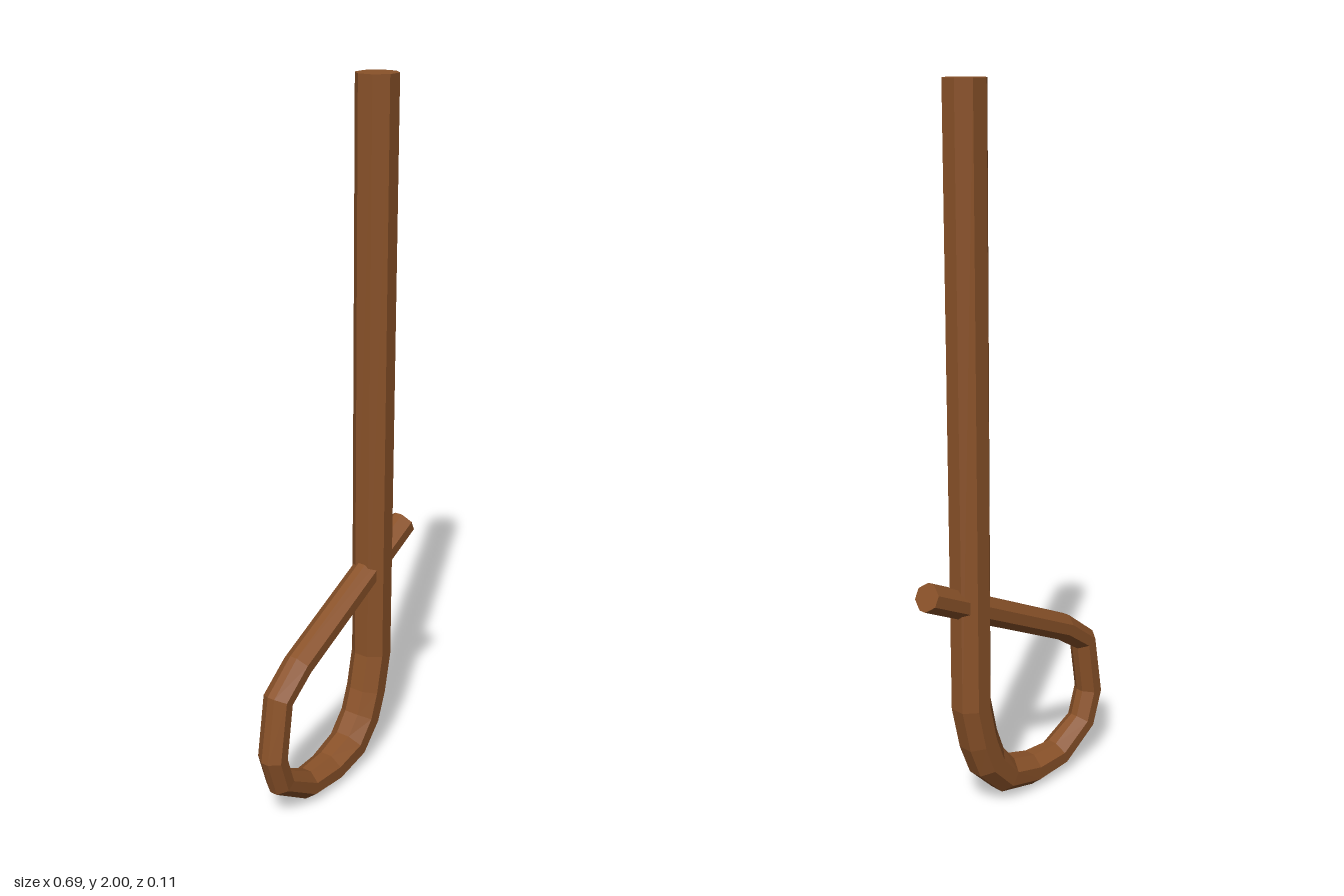
import * as THREE from 'three';

// Eight-sided bar swept along a flat path; each station is [x, y, inPlaneRadius, depthRadius, bevelRatio]
function sweepBar(stations) {
  const pts = stations.map(([x, y]) => new THREE.Vector2(x, y));
  const verts = [];
  const index = [];
  const last = pts.length - 1;
  stations.forEach(([x, y, r, d, f], i) => {
    const before = pts[i].clone().sub(pts[Math.max(i - 1, 0)]).normalize();
    const after = pts[Math.min(i + 1, last)].clone().sub(pts[i]).normalize();
    const t = before.add(after).normalize();
    // octagon section: flats face the side and the depth directions
    const section = [[1, -f], [1, f], [0.41, 1], [-0.41, 1], [-1, f], [-1, -f], [-0.41, -1], [0.41, -1]];
    for (const [a, b] of section) verts.push(x - t.y * a * r, y + t.x * a * r, b * d);
  });
  for (let i = 0; i < last; i++) {
    for (let k = 0; k < 8; k++) {
      const a = i * 8 + k, b = i * 8 + (k + 1) % 8;
      index.push(a, b, b + 8, a, b + 8, a + 8);
    }
  }
  // flat end caps
  const e = last * 8;
  for (let k = 1; k < 7; k++) index.push(0, k + 1, k, e, e + k, e + k + 1);

  const indexed = new THREE.BufferGeometry();
  indexed.setAttribute('position', new THREE.Float32BufferAttribute(verts, 3));
  indexed.setIndex(index);
  const geometry = indexed.toNonIndexed();
  geometry.computeVertexNormals();
  return geometry;
}

export function createModel() {
  const group = new THREE.Group();
  group.name = 'loopedRod';
  const material = new THREE.MeshStandardMaterial({ color: 0x8a5229, flatShading: true });

  // straight shaft, curling round into a tapering loop whose tip crosses the shaft
  const rod = new THREE.Mesh(sweepBar([
    [0.172, 2, 0.055, 0.054, 0.41],
    [0.171, 0.333, 0.053, 0.054, 0.41],
    [0.145, 0.217, 0.053, 0.054, 0.41],
    [0.114, 0.138, 0.053, 0.054, 0.41],
    [0.05, 0.071, 0.05, 0.054, 0.39],
    [-0.055, 0.046, 0.046, 0.05, 0.36],
    [-0.167, 0.052, 0.041, 0.045, 0.33],
    [-0.278, 0.122, 0.038, 0.04, 0.28],
    [-0.308, 0.217, 0.037, 0.04, 0.28],
    [-0.28, 0.386, 0.037, 0.04, 0.28],
    [-0.19, 0.452, 0.038, 0.04, 0.28],
    [0.325, 0.692, 0.038, 0.04, 0.28],
  ]), material);
  rod.name = 'shaftAndLoop';
  group.add(rod);
  return group;
}
